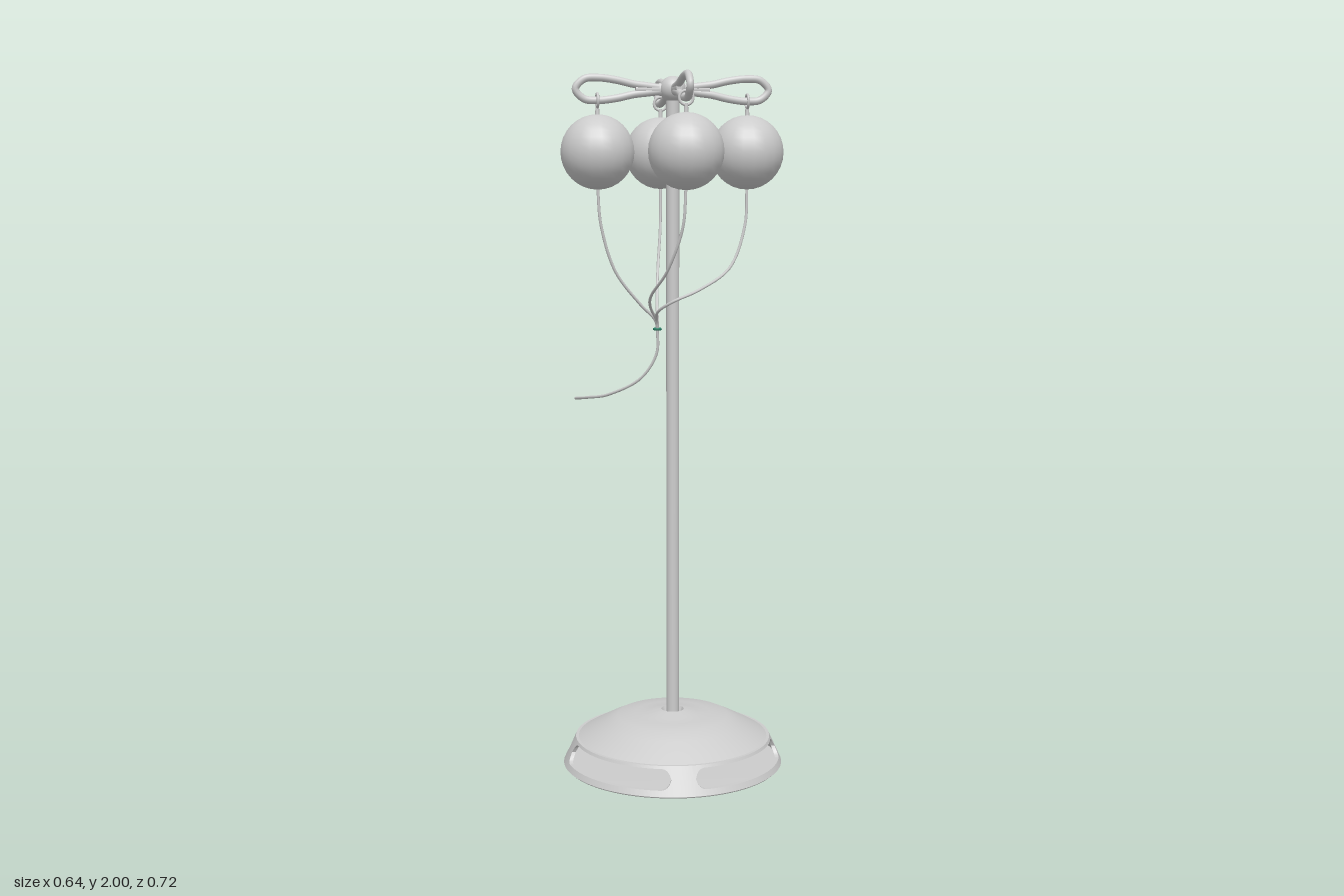
import * as THREE from 'three';
import { toCreasedNormals } from 'three/addons/utils/BufferGeometryUtils.js';

const grey = new THREE.MeshStandardMaterial({ color: 0xcccccc, side: THREE.DoubleSide });
const green = new THREE.MeshStandardMaterial({ color: 0x2a8066 });
const AXIS_Z = 0.04; // the stand is off centre because of the trailing cable
const V = (x, y, z) => new THREE.Vector3(x, y, z);

function add(parent, name, geometry, x = 0, y = 0, z = 0, material = grey) {
  const mesh = new THREE.Mesh(geometry, material);
  mesh.name = name;
  mesh.position.set(x, y, z);
  parent.add(mesh);
  return mesh;
}

function lathe(points, segments = 64) {
  return new THREE.LatheGeometry(points.map(([r, y]) => new THREE.Vector2(r, y)), segments);
}

// Sloping wall band whose lower and upper edges vary with the angle
function wallBand(low, high) {
  const n = 360, thickness = 0.011, pos = [], index = [];
  const radius = y => 0.325 - 0.46 * y;
  for (let i = 0; i <= n; i++) {
    const a = (i / n) * Math.PI * 2, y0 = low(a), y1 = high(a);
    const section = [
      [radius(y0), y0], [radius(y1), y1],
      [radius(y1) - thickness, y1], [radius(y0) - thickness, y0],
    ];
    for (const [r, y] of section) pos.push(r * Math.sin(a), y, r * Math.cos(a));
  }
  for (let i = 0; i < n; i++) {
    for (let j = 0; j < 4; j++) {
      const a = i * 4 + j, b = i * 4 + (j + 1) % 4;
      index.push(a, a + 4, b, b, a + 4, b + 4);
    }
  }
  const g = new THREE.BufferGeometry();
  g.setAttribute('position', new THREE.Float32BufferAttribute(pos, 3));
  g.setIndex(index);
  return toCreasedNormals(g, 0.6);
}

// Half height of the round-ended window at a given angle
function opening(angle) {
  const quarter = Math.PI / 2, h = 0.027, R = 0.3, halfLength = R * 0.665;
  const t = angle - THREE.MathUtils.degToRad(37.5);
  const s = Math.abs(t - Math.round(t / quarter) * quarter) * R;
  const e = Math.max(0, s - halfLength + h);
  return e >= h ? 0 : Math.sqrt(h * h - e * e);
}

function cable(points, segments = 48) {
  const curve = new THREE.CatmullRomCurve3(points.map(p => V(...p)));
  return new THREE.TubeGeometry(curve, segments, 0.0042, 8);
}

function makeBase() {
  const base = new THREE.Group();
  base.name = 'base';
  add(base, 'basePlate', lathe([[0, 0], [0.3, 0], [0.315, 0.005], [0.319, 0.012], [0.31, 0.017], [0, 0.017]]));
  const mid = 0.053;
  add(base, 'lowerWall', wallBand(() => 0.01, a => mid - opening(a)));
  add(base, 'upperWall', wallBand(a => mid + opening(a), () => 0.088));
  add(base, 'dome', toCreasedNormals(lathe([
    [0.02, 0.14], [0.027, 0.152], [0.033, 0.165], [0.042, 0.164], [0.07, 0.157], [0.11, 0.153],
    [0.162, 0.148], [0.2, 0.13], [0.245, 0.106], [0.285, 0.083],
  ]), 0.5));
  return base;
}

// One arm: a teardrop loop in a vertical plane, with its hook and globe
function makeArm() {
  const arm = new THREE.Group();
  arm.name = 'lampArm';
  const upper = [[0.07, 0.009], [0.11, 0.014], [0.16, 0.025], [0.21, 0.031], [0.25, 0.027]];
  const outline = [
    V(0.01, 0, 0),
    ...upper.map(([x, y]) => V(x, y, 0)),
    V(0.274, 0, 0),
    ...upper.map(([x, y]) => V(x, -y, 0)).reverse(),
  ];
  const curve = new THREE.CatmullRomCurve3(outline, true);
  add(arm, 'armLoop', new THREE.TubeGeometry(curve, 96, 0.0105, 12, true), 0, 1.956);
  const root = add(arm, 'armRoot', new THREE.CylinderGeometry(0.012, 0.019, 0.09, 16), 0.06, 1.956);
  root.rotation.z = -Math.PI / 2;
  root.scale.z = 0.65;

  const x = 0.213;
  const hook = add(arm, 'hook', new THREE.TorusGeometry(0.019, 0.004, 8, 24), x, 1.925);
  hook.rotation.y = Math.PI / 2;
  add(arm, 'hangerStem', new THREE.CylinderGeometry(0.005, 0.007, 0.035, 10), x, 1.893);
  add(arm, 'globe', new THREE.SphereGeometry(0.104, 20, 16), x, 1.783);
  return arm;
}

export function createModel() {
  const model = new THREE.Group();
  model.name = 'floorLamp';

  const stand = new THREE.Group();
  stand.name = 'stand';
  stand.position.z = AXIS_Z;
  model.add(stand);
  stand.add(makeBase());
  add(stand, 'pole', new THREE.CylinderGeometry(0.0185, 0.0185, 1.93, 24), 0, 0.98);
  add(stand, 'hub', new THREE.SphereGeometry(0.037, 24, 16), 0, 1.957);
  for (let i = 0; i < 4; i++) {
    const arm = makeArm();
    arm.rotation.y = i * Math.PI / 2 - 0.065;
    stand.add(arm);
  }

  // Cables from the globes down to the gathering ring
  const knot = [-0.03, 1.28, -0.025];
  const cables = {
    leftCable: [[0.213, 1.69, 0.054], [0.207, 1.58, 0.058], [0.16, 1.46, 0.07], [0.07, 1.40, 0.085],
      [-0.01, 1.365, 0.08], [-0.042, 1.335, 0.035], [-0.034, 1.305, -0.015], knot],
    rightCable: [[-0.213, 1.69, 0.026], [-0.203, 1.58, 0.022], [-0.16, 1.45, 0.008],
      [-0.085, 1.355, -0.01], [-0.036, 1.305, -0.022], knot],
    frontCable: [[-0.014, 1.69, 0.253], [-0.02, 1.58, 0.243], [-0.05, 1.46, 0.19],
      [-0.075, 1.385, 0.095], [-0.06, 1.345, 0.02], [-0.034, 1.305, -0.018], knot],
    backCable: [[0.014, 1.69, -0.173], [0.01, 1.57, -0.16], [-0.005, 1.45, -0.127],
      [-0.022, 1.35, -0.065], [-0.028, 1.305, -0.032], knot],
    trailingCable: [knot, [-0.03, 1.21, -0.033], [-0.07, 1.135, -0.062], [-0.15, 1.08, -0.138],
      [-0.195, 1.06, -0.235], [-0.21, 1.042, -0.363]],
  };
  for (const [name, points] of Object.entries(cables)) add(model, name, cable(points));

  const ring = add(model, 'cableRing', new THREE.TorusGeometry(0.009, 0.004, 8, 20), ...knot, green);
  ring.rotation.x = Math.PI / 2;
  return model;
}
